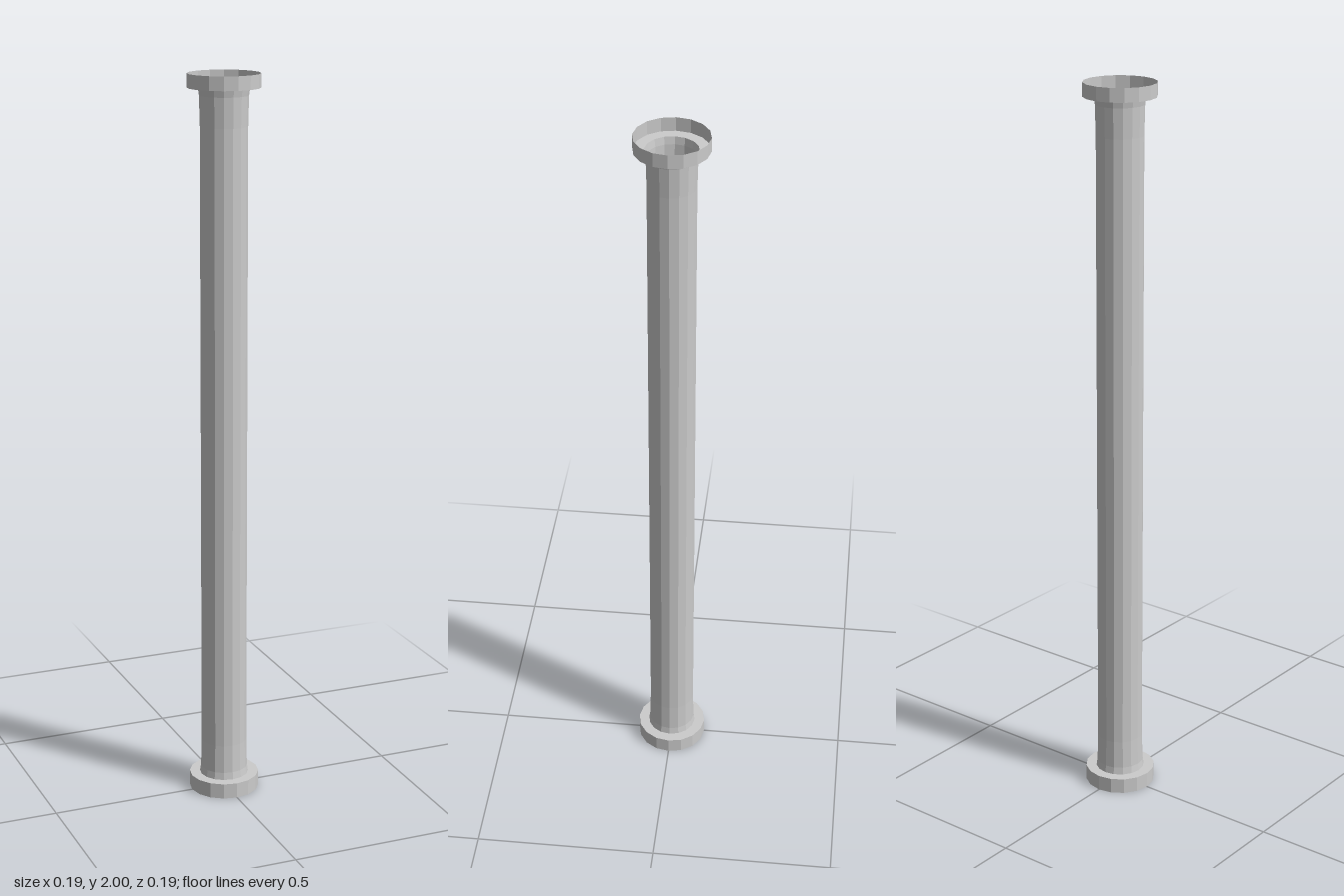
import * as THREE from 'three';

const SIDES = 16;
const material = new THREE.MeshStandardMaterial({
  color: 0xcccccc, flatShading: true, side: THREE.DoubleSide,
});

// Open surface of revolution from [radius, height] pairs
function turned(name, profile) {
  const points = profile.map(([r, y]) => new THREE.Vector2(r, y));
  const mesh = new THREE.Mesh(new THREE.LatheGeometry(points, SIDES), material);
  mesh.name = name;
  return mesh;
}

export function createModel() {
  const group = new THREE.Group();
  group.name = 'flangedPipe';

  const R = 0.097;        // collar radius
  const THROAT = 0.068;   // pipe mouth radius
  const BORE = 0.063;     // pipe radius
  const LOW = 0.043;      // height of the lower shelf
  const HIGH = 1.963;     // height of the upper shelf

  // Hollow pipe, slightly flared at both mouths
  group.add(turned('pipe', [
    [THROAT, LOW], [0.065, LOW + 0.02], [BORE, LOW + 0.1],
    [BORE, HIGH - 0.1], [0.065, HIGH - 0.02], [THROAT, HIGH],
  ]));

  // Thin open collars, each joined to the pipe by a flat shelf
  group.add(turned('lowerCollar', [[R, 0], [R, LOW], [THROAT, LOW]]));
  group.add(turned('upperCollar', [[THROAT, HIGH], [R, HIGH], [R, 2]]));

  return group;
}
